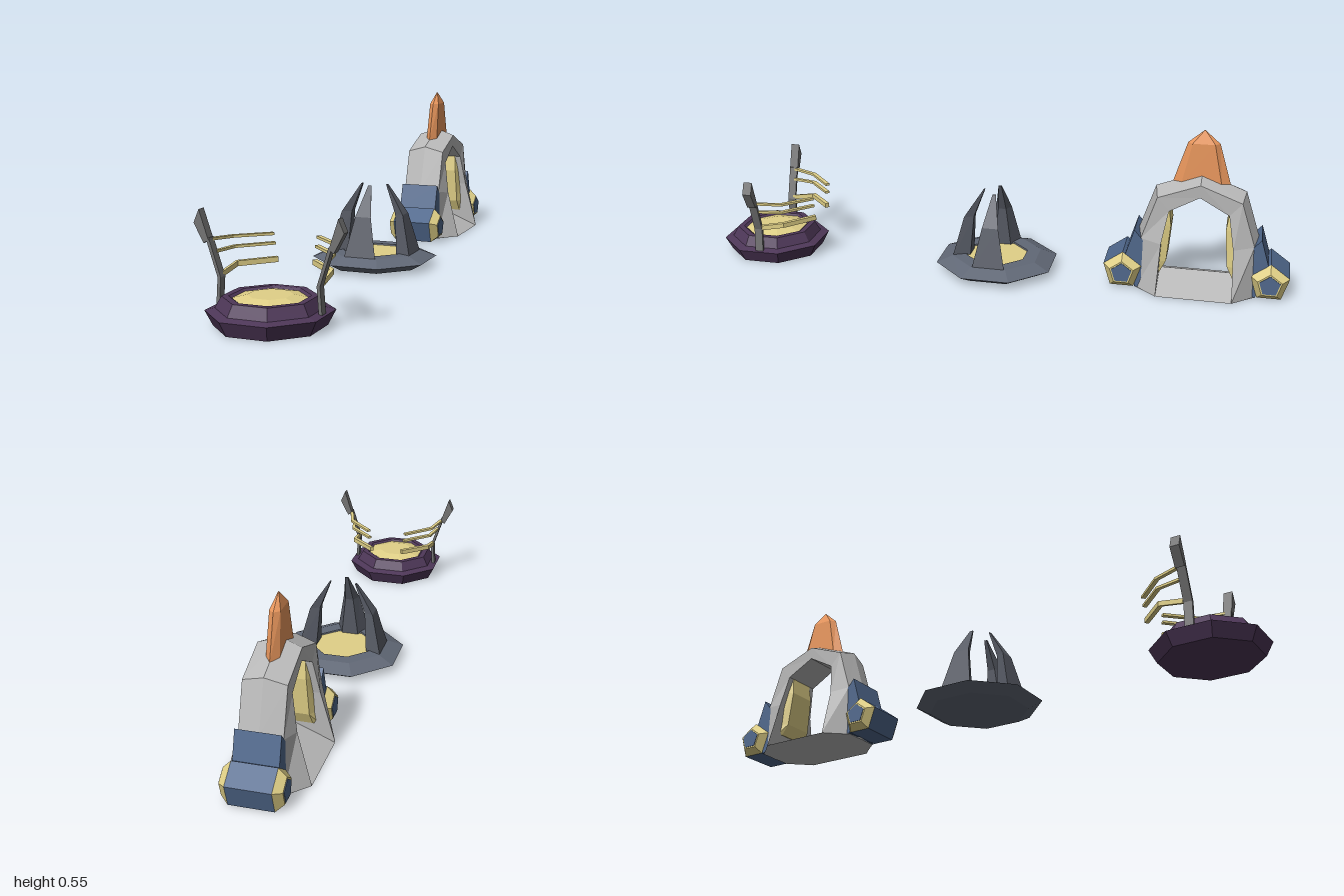
import * as THREE from 'three';
import { ConvexGeometry } from 'three/addons/geometries/ConvexGeometry.js';

const mat = (color) => new THREE.MeshStandardMaterial({ color, flatShading: true });
const M = {
  purple: mat(0x4e3758), yellow: mat(0xe0d087), slate: mat(0x616876), spike: mat(0x585c66),
  steel: mat(0x737373), blue: mat(0x50688c), stone: mat(0xb8b8b8), orange: mat(0xe8965c),
};

function add(parent, name, geometry, material) {
  const mesh = new THREE.Mesh(geometry, material);
  mesh.name = name;
  parent.add(mesh);
  return mesh;
}

// Closed faceted solid through matching cross-sections, always facing outwards
function loft(sections) {
  const tris = [];
  const n = sections[0].length;
  for (let s = 0; s + 1 < sections.length; s++) {
    const a = sections[s], b = sections[s + 1];
    for (let i = 0; i < n; i++) {
      const j = (i + 1) % n;
      tris.push([a[i], a[j], b[j]], [a[i], b[j], b[i]]);
    }
  }
  const first = sections[0], last = sections[sections.length - 1];
  for (let i = 1; i + 1 < n; i++) {
    tris.push([first[0], first[i + 1], first[i]], [last[0], last[i], last[i + 1]]);
  }
  const o = new THREE.Vector3(...first[0]);
  let volume = 0;
  for (const t of tris) {
    const [p, q, r] = t.map((v) => new THREE.Vector3(...v).sub(o));
    volume += p.dot(q.cross(r));
  }
  if (volume < 0) tris.forEach((t) => t.reverse());
  const g = new THREE.BufferGeometry();
  g.setAttribute('position', new THREE.Float32BufferAttribute(tris.flat(2), 3));
  g.computeVertexNormals();
  return g;
}

// Eight-sided turned shape; profile x is the distance to the flat sides
function octagon(profile) {
  const k = 1 / Math.cos(Math.PI / 8);
  const pts = profile.map(([r, y]) => new THREE.Vector2(r * k, y));
  const g = new THREE.LatheGeometry(pts, 8, Math.PI / 8).toNonIndexed();
  g.computeVertexNormals();
  return g;
}

// Prism along x from a (z, y) outline
const prism = (outline, halfWidth) =>
  loft([-halfWidth, halfWidth].map((x) => outline.map(([z, y]) => [x, y, z])));

function makeRibbedPad() {
  const g = new THREE.Group();
  g.name = 'ribbedPad';
  g.position.z = 0.825;
  add(g, 'padBase', octagon([[0, 0], [0.15, 0], [0.172, 0.045], [0.145, 0.052], [0.127, 0.086], [0.108, 0.086], [0.098, 0.078]]), M.purple);
  add(g, 'padDisc', octagon([[0.1, 0.08], [0.06, 0.09], [0, 0.09]]), M.yellow);

  // Ribs: start x, start / middle / end heights, end x, half height
  const ribs = [
    [0.186, 0.234, 0.228, 0.226, 0.073, 0.004],
    [0.173, 0.199, 0.198, 0.198, 0.068, 0.004],
    [0.156, 0.134, 0.148, 0.15, 0.06, 0.008],
  ];
  for (const s of [1, -1]) {
    const post = [[0.16, 0.04], [0.154, 0.128], [0.19, 0.24]];
    add(g, 'post', loft(post.map(([x, y]) =>
      [[-0.005, -0.014], [0.005, -0.014], [0.005, 0.014], [-0.005, 0.014]].map(([dx, dz]) => [s * (x + dx), y, dz]))), M.steel);
    const blade = [[0.215, 0.322], [0.232, 0.282], [0.201, 0.224], [0.186, 0.235]];
    add(g, 'blade', loft([-0.015, 0.015].map((z) => blade.map(([x, y]) => [s * x, y, z]))), M.steel);
    for (const [x0, y0, y1, y2, x2, h] of ribs) {
      const path = [[x0, y0, -0.01], [x0 * 0.4 + 0.088, y1, -0.09], [x2, y2, -0.176]];
      const t = 0.005;
      add(g, 'rib', loft(path.map(([x, y, z]) =>
        [[-t, -h], [t, -h], [t, h], [-t, h]].map(([d, e]) => [s * (x + d), y + e, z - d]))), M.yellow);
    }
  }
  return g;
}

function makeSpikedPad() {
  const g = new THREE.Group();
  g.name = 'spikedPad';
  add(g, 'padBase', octagon([[0, 0.005], [0.155, 0.005], [0.198, 0.03], [0.145, 0.052], [0.1, 0.052], [0.098, 0.045]]), M.slate);
  add(g, 'padDisc', octagon([[0.1, 0.047], [0, 0.047]]), M.yellow);

  // Curved spikes: height, outer and inner distance, outer and inner half width
  const rows = [
    [0.04, 0.148, 0.09, 0.058, 0.03],
    [0.185, 0.112, 0.08, 0.028, 0.014],
    [0.284, 0.048, 0.043, 0.006, 0.005],
  ];
  const spike = loft(rows.map(([y, ro, ri, wo, wi]) => [[-wo, y, ro], [wo, y, ro], [wi, y, ri], [-wi, y, ri]]));
  for (const turn of [-1, 0, 1]) add(g, 'spike', spike, M.spike).rotation.y = turn * Math.PI / 2;
  return g;
}

function makeArchGate() {
  const g = new THREE.Group();
  g.name = 'archGate';
  g.position.z = -0.692;

  // Arch rows: ridge, shoulder and inner edge as (z, y), with half widths
  const half = [
    { ridge: [0.202, 0], shoulder: [0.195, 0, 0.066], inner: [0.125, 0, 0.13] },
    { ridge: [0.2, 0.19], shoulder: [0.186, 0.18, 0.068], inner: [0.118, 0.17, 0.086] },
    { ridge: [0.148, 0.348], shoulder: [0.138, 0.328, 0.068], inner: [0.098, 0.283, 0.068] },
    { ridge: [0, 0.405], shoulder: [0, 0.38, 0.068], inner: [0, 0.337, 0.066] },
  ];
  const row = ({ ridge: r, shoulder: h, inner: n }, s) => [
    [0, r[1], s * r[0]], [h[2], h[1], s * h[0]], [n[2], n[1], s * n[0]],
    [-n[2], n[1], s * n[0]], [-h[2], h[1], s * h[0]],
  ];
  const left = half.map((r) => row(r, 1));
  const right = half.slice(0, 3).reverse().map((r) => row(r, -1));
  add(g, 'arch', loft([...left, ...right]), M.stone);

  // Ridged sill between the legs
  const sill = [];
  for (const s of [1, -1]) {
    sill.push(new THREE.Vector3(0, 0.053, s * 0.13));
    for (const m of [1, -1]) {
      sill.push(new THREE.Vector3(m * 0.13, 0, s * 0.12), new THREE.Vector3(m * 0.065, 0, s * 0.2));
    }
  }
  add(g, 'sill', new ConvexGeometry(sill), M.stone);

  // Crest on top
  const crest = [[0.365, 0.021, 0.095], [0.505, 0.017, 0.052], [0.548, 0.001, 0.002]];
  add(g, 'crest', loft(crest.map(([y, w, d]) =>
    [[0, d], [w, d * 0.7], [w, -d * 0.7], [0, -d], [-w, -d * 0.7], [-w, d * 0.7]].map(([x, z]) => [x, y, z]))), M.orange);

  const pentagon = (x, r, s) => Array.from({ length: 5 }, (_, i) => {
    const a = i * Math.PI * 0.4;
    return [x, 0.058 + r * Math.cos(a), s * 0.244 + r * Math.sin(a)];
  });
  for (const s of [1, -1]) {
    // Inner lining of each leg
    const lining = [[0.06, 0.12, 0.06], [0.1, 0.1, 0.055], [0.225, 0.09, 0.05], [0.285, 0.098, 0.045]];
    add(g, 'lining', loft(lining.map(([y, z, w]) =>
      [[-w - 0.015, 0.13], [-w, z], [w, z], [w + 0.015, 0.13]].map(([x, d]) => [x, y, s * d]))), M.yellow);

    // Pod with bevelled end caps, braced against the leg
    add(g, 'podBody', loft([-0.07, 0.07].map((x) => pentagon(x, 0.067, s))), M.blue);
    add(g, 'podCore', loft([-0.097, 0.097].map((x) => pentagon(x, 0.036, s))), M.blue);
    for (const m of [1, -1]) {
      add(g, 'podCap', loft([pentagon(m * 0.07, 0.067, s), pentagon(m * 0.095, 0.042, s)]), M.yellow);
    }
    const brace = [[0.235, 0.12], [0.208, 0.208], [0.155, 0.145], [0.125, 0.003], [0.2, 0.003]];
    add(g, 'podBrace', prism(brace.map(([z, y]) => [s * z, y]), 0.07), M.blue);
  }
  return g;
}

export function createModel() {
  const model = new THREE.Group();
  model.name = 'platformSet';
  model.add(makeRibbedPad(), makeSpikedPad(), makeArchGate());
  return model;
}
